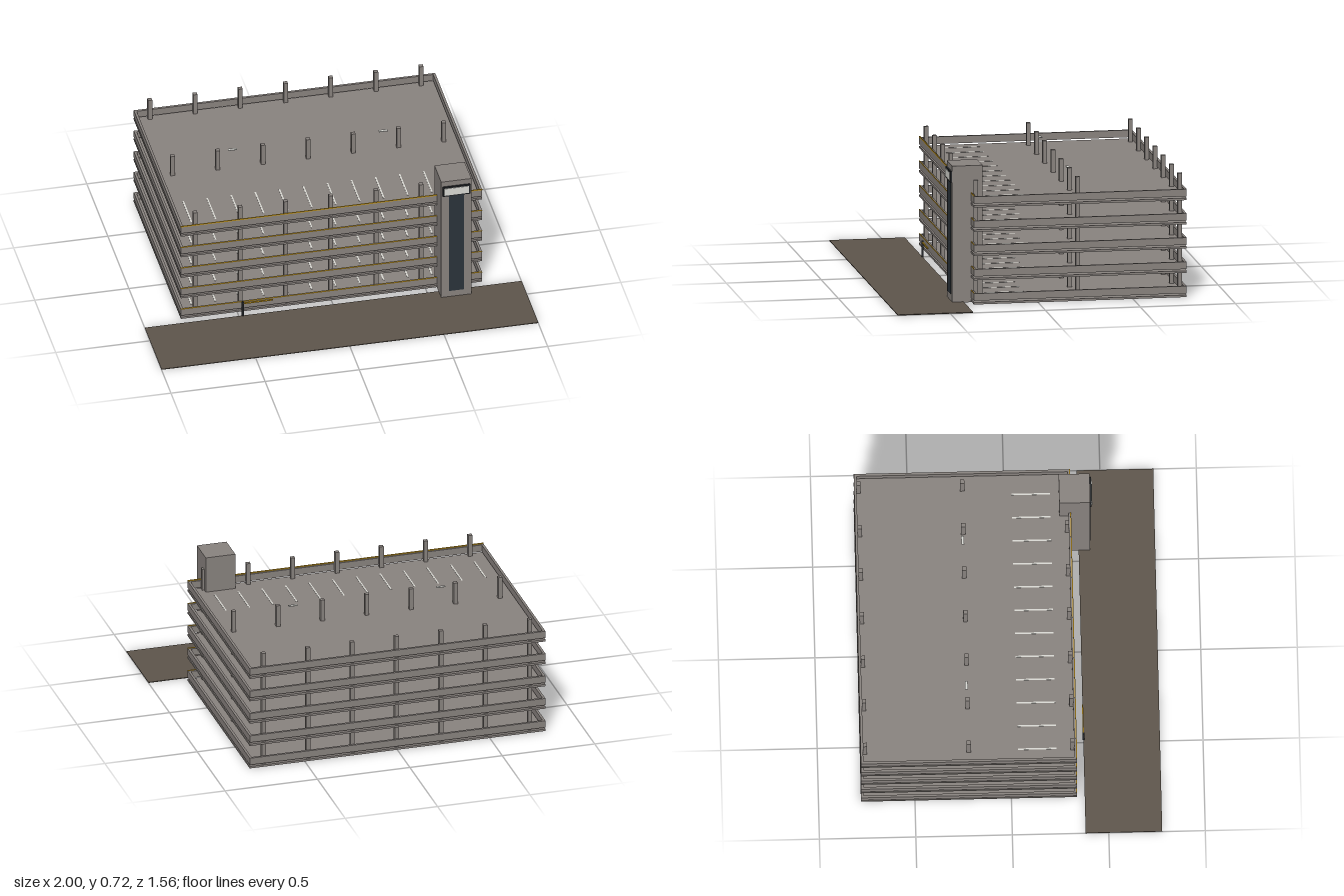
import * as THREE from 'three';

const material = (name, color) => {
  const m = new THREE.MeshStandardMaterial({ color });
  m.name = name;
  return m;
};

export function createModel() {
  const concrete = material('concrete', 0x8a8480);
  const asphalt = material('asphalt', 0x5f564c);
  const glass = material('dark glass', 0x2b343b);
  const white = material('white paint', 0xdcdcd6);
  const yellow = material('yellow trim', 0xd0a020);
  const black = material('dark metal', 0x25282b);

  const model = new THREE.Group();
  model.name = 'parkingGarage';

  // Box given by its minimum and maximum along each axis
  const box = (parent, name, mat, [x0, x1], [y0, y1], [z0, z1]) => {
    const mesh = new THREE.Mesh(new THREE.BoxGeometry(x1 - x0, y1 - y0, z1 - z0), mat);
    mesh.position.set((x0 + x1) / 2, (y0 + y1) / 2, (z0 + z1) / 2);
    mesh.name = name;
    parent.add(mesh);
  };

  const X = 0.8, BACK = -0.78, FRONT = 0.34, STEP = 0.128, T = 0.013;

  // Five parking decks
  for (let i = 0; i < 5; i++) {
    const deck = new THREE.Group();
    deck.name = 'deck' + i;
    deck.position.y = i * STEP + 0.003;
    model.add(deck);
    box(deck, 'slab', concrete, [-X, X], [0, 0.011], [BACK, FRONT]);

    // Parapet walls float just above the slab edge
    const h = [0.02, 0.058];
    box(deck, 'frontParapet', concrete, [-X, X], h, [FRONT - T, FRONT]);
    box(deck, 'backParapet', concrete, [-X, X], h, [BACK, BACK + T]);
    for (const s of [-1, 1]) {
      const xs = s < 0 ? [-X, -X + T] : [X - T, X];
      box(deck, 'sideParapet', concrete, xs, h, [BACK + T, FRONT - T]);
    }
    box(deck, 'yellowRail', yellow, [-X, X], [0.058, i === 4 ? 0.064 : 0.061], [FRONT - 0.004, FRONT + 0.001]);

    // Parking bay lines
    for (let k = 0; k < 12; k++) {
      const x = -0.72 + k * 0.1277;
      box(deck, 'bayLine', white, [x - 0.004, x + 0.004], [0.011, 0.0125], [0.035, 0.235]);
    }

    // Hanging light panels
    for (const x of [-0.4, 0.4])
      box(deck, 'lightPanel', white, [x - 0.023, x + 0.023], [0.116, 0.12], [-0.232, -0.217]);
  }

  // Column grid running through every deck
  for (const z of [-0.757, -0.22, 0.318])
    for (let k = -3; k <= 3; k++)
      box(model, 'column', concrete, [k * 0.24 - 0.011, k * 0.24 + 0.011], [0.004, 0.645], [z - 0.011, z + 0.011]);

  // Stair tower with window strip and sign
  const tower = new THREE.Group();
  tower.name = 'stairTower';
  model.add(tower);
  box(tower, 'towerBody', concrete, [0.56, 0.72], [0, 0.722], [0.28, 0.44]);
  box(tower, 'towerWindow', glass, [0.6, 0.68], [0.04, 0.645], [0.44, 0.443]);
  box(tower, 'signFrame', black, [0.567, 0.713], [0.634, 0.692], [0.44, 0.448]);
  box(tower, 'signPanel', white, [0.574, 0.706], [0.642, 0.684], [0.448, 0.451]);

  // Road strip in front
  box(model, 'road', asphalt, [-1, 1], [0, 0.004], [0.38, 0.777]);

  // Entrance barrier
  box(model, 'barrierPost', black, [-0.486, -0.476], [0, 0.09], [0.375, 0.385]);
  box(model, 'barrierArm', yellow, [-0.476, -0.32], [0.076, 0.083], [0.377, 0.383]);

  return model;
}
